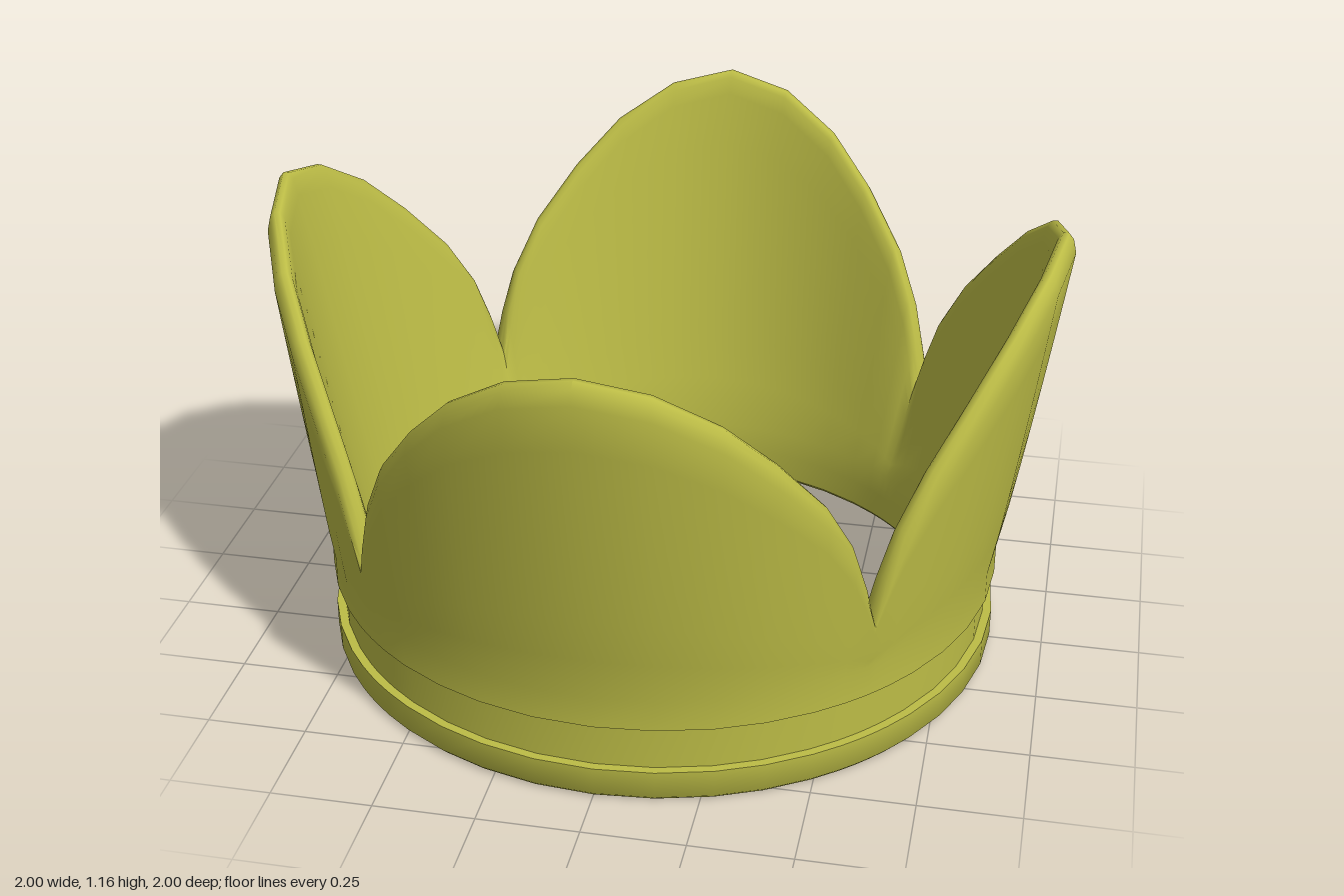
import * as THREE from 'three';
import { toCreasedNormals } from 'three/addons/utils/BufferGeometryUtils.js';

// Half a petal, centre to notch: [angle in degrees, rim radius, rim height]
const HALF = [
  [0, 0.999, 1.157], [9.7, 0.982, 1.118], [19, 0.957, 1.025], [27.1, 0.931, 0.905],
  [35.2, 0.909, 0.765], [40.4, 0.895, 0.635], [43.2, 0.887, 0.52], [45, 0.881, 0.42],
];

// Four petals mirrored about their centres, as columns around the ring
function makeColumns() {
  const columns = [];
  const left = HALF.slice(1).reverse().map(([a, r, h]) => [-a, r, h]);
  const petal = [...left, ...HALF.slice(0, -1)];
  for (let k = 0; k < 4; k++) {
    for (const [a, r, h] of petal) columns.push([THREE.MathUtils.degToRad(a + k * 90), r, h]);
  }
  return columns;
}

// Sweep a profile of [radius, height] points, which may vary per column, around y
function sweep(columns, profile) {
  const positions = [];
  const index = [];
  const n = columns.length;
  let m = 0;
  for (const [a, r, h] of columns) {
    const points = profile(r, h);
    m = points.length;
    for (const [pr, py] of points) positions.push(pr * Math.sin(a), py, pr * Math.cos(a));
  }
  for (let i = 0; i < n; i++) {
    const p = i * m;
    const q = ((i + 1) % n) * m;
    for (let j = 0; j < m - 1; j++) {
      index.push(p + j, q + j, q + j + 1, p + j, q + j + 1, p + j + 1);
    }
  }
  const geometry = new THREE.BufferGeometry();
  geometry.setAttribute('position', new THREE.Float32BufferAttribute(positions, 3));
  geometry.setIndex(index);
  return toCreasedNormals(geometry, 1.0);
}

// Points from one [radius, height] to another, bowed outwards by a power below 1
function bowed(from, to, power, steps) {
  const points = [];
  for (let s = 0; s <= steps; s++) {
    const t = s / steps;
    points.push([
      THREE.MathUtils.lerp(from[0], to[0], Math.pow(t, power)),
      THREE.MathUtils.lerp(from[1], to[1], t),
    ]);
  }
  return points;
}

// Lip above the groove, flaring outer wall, rounded rim, inner wall down to the base
function petalProfile(r, h) {
  const drop = Math.min(0.05, (h - 0.3) * 0.2); // the rim gets shallower at the notch
  return [
    [0.843, 0.2], [0.865, 0.2],
    ...bowed([0.865, 0.28], [r, h - drop], 0.88, 7),
    [r - 0.008, h - drop * 0.3], [r - 0.02, h], [r - 0.034, h], [r - 0.045, h - drop * 0.3],
    ...bowed([0.748, 0.15], [r - 0.055, h - drop * 1.2], 0.95, 7).reverse(),
    [0.745, 0.08], [0.745, 0.01],
  ];
}

// Underside, bottom band and groove
function baseProfile() {
  return [
    [0.745, 0.01], [0.753, 0], [0.856, 0], [0.865, 0.01],
    [0.865, 0.08], [0.843, 0.08], [0.843, 0.2],
  ];
}

export function createModel() {
  const group = new THREE.Group();
  group.name = 'crown';
  const material = new THREE.MeshStandardMaterial({ color: 0xbcbc46 });
  const columns = makeColumns();

  const petals = new THREE.Mesh(sweep(columns, petalProfile), material);
  petals.name = 'petals';

  const base = new THREE.Mesh(sweep(columns, baseProfile), material);
  base.name = 'baseBand';

  group.add(petals, base);
  return group;
}
